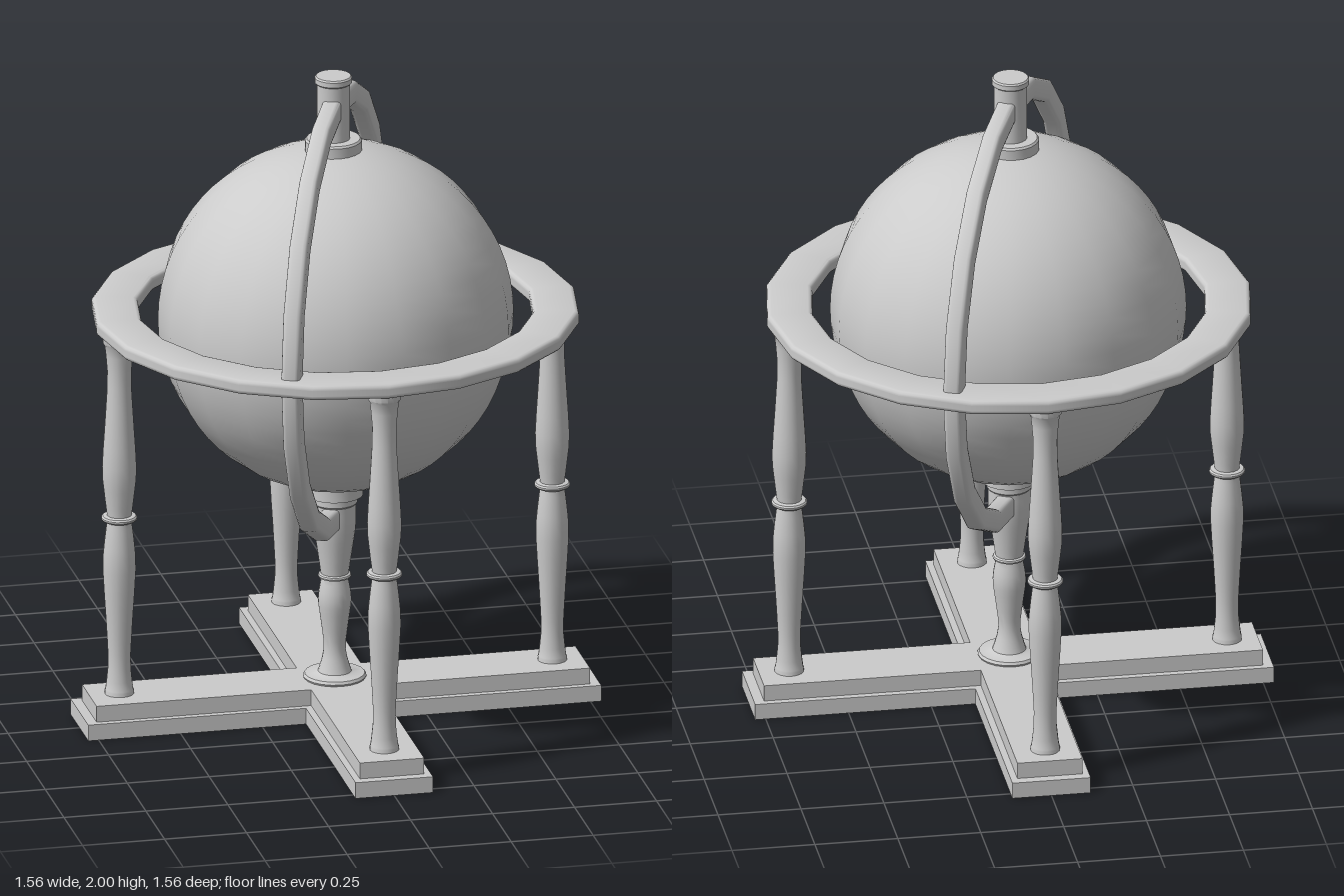
import * as THREE from 'three';
import { toCreasedNormals } from 'three/addons/utils/BufferGeometryUtils.js';

const material = new THREE.MeshStandardMaterial({ color: 0xcccccc });

function turned(profile, segments) {
  const points = profile.map(([r, y]) => new THREE.Vector2(r, y));
  return toCreasedNormals(new THREE.LatheGeometry(points, segments), 0.6);
}

// Smooths a run of profile points with a spline
function curve(points, steps = 12) {
  const spline = new THREE.SplineCurve(points.map(([r, y]) => new THREE.Vector2(r, y)));
  return spline.getPoints(steps).map((p) => [p.x, p.y]);
}

// Flat hoop about the y axis with rounded edges
function hoop(inner, outer, height, round, segments) {
  const h = height / 2 - round;
  const corners = [
    [inner + round, -h, Math.PI], [outer - round, -h, -Math.PI / 2],
    [outer - round, h, 0], [inner + round, h, Math.PI / 2],
  ];
  const profile = [];
  for (const [r, y, start] of corners) {
    for (let i = 0; i <= 3; i++) {
      const a = start + (i / 3) * (Math.PI / 2);
      profile.push([r + round * Math.cos(a), y + round * Math.sin(a)]);
    }
  }
  profile.push(profile[0]);
  return turned(profile, segments);
}

// Cross-shaped slab lying flat
function crossSlab(half, arm, height) {
  const corners = [
    [half, -arm], [half, arm], [arm, arm], [arm, half], [-arm, half], [-arm, arm],
    [-half, arm], [-half, -arm], [-arm, -arm], [-arm, -half], [arm, -half], [arm, -arm],
  ];
  const shape = new THREE.Shape(corners.map(([x, y]) => new THREE.Vector2(x, y)));
  return new THREE.ExtrudeGeometry(shape, { depth: height, bevelEnabled: false }).rotateX(-Math.PI / 2);
}

export function createModel() {
  const group = new THREE.Group();
  const add = (name, geometry, x = 0, y = 0, z = 0) => {
    const mesh = new THREE.Mesh(geometry, material);
    mesh.name = name;
    mesh.position.set(x, y, z);
    group.add(mesh);
    return mesh;
  };

  // Stepped cross base
  add('baseLower', crossSlab(0.782, 0.118, 0.05));
  add('baseUpper', crossSlab(0.752, 0.098, 0.05), 0, 0.05);

  // Four turned columns carrying the horizon ring
  const column = turned([
    [0, 0.1], [0.044, 0.1], [0.044, 0.11],
    ...curve([[0.042, 0.115], [0.034, 0.2], [0.04, 0.33], [0.05, 0.5], [0.045, 0.58], [0.037, 0.645]]),
    [0.05, 0.647], [0.054, 0.652], [0.054, 0.657], [0.05, 0.662],
    ...curve([[0.037, 0.664], [0.045, 0.73], [0.052, 0.81], [0.044, 0.95], [0.036, 1.1], [0.044, 1.2]]),
    [0.05, 1.21], [0.05, 1.235], [0, 1.235],
  ], 16);
  add('rightColumn', column, -0.66, 0, -0.003);
  add('leftColumn', column, 0.66, 0, -0.003);
  add('frontColumn', column, 0, 0, 0.648);
  add('backColumn', column, 0, 0, -0.668);

  // Central pedestal under the globe
  add('pedestal', turned([
    [0, 0.1], [0.092, 0.1], [0.095, 0.106], [0.09, 0.114], [0.055, 0.117],
    ...curve([[0.05, 0.12], [0.033, 0.19], [0.042, 0.28], [0.05, 0.35], [0.04, 0.415]]),
    [0.048, 0.417], [0.05, 0.422], [0.048, 0.427],
    ...curve([[0.042, 0.43], [0.052, 0.5], [0.063, 0.58], [0.064, 0.65]], 8),
    [0.068, 0.655], [0.068, 0.675], [0.085, 0.678], [0.085, 0.715], [0, 0.715],
  ], 20), -0.004);

  // Globe
  add('globe', new THREE.SphereGeometry(0.53, 20, 32).rotateY(Math.PI / 20), 0, 1.243, -0.004);

  // Axis pin on top of the globe
  add('axisPin', turned([
    [0, 1.75], [0.085, 1.75], [0.085, 1.797], [0.08, 1.803], [0.05, 1.803],
    [0.05, 1.975], [0.056, 1.98], [0.056, 1.995], [0.052, 2], [0, 2],
  ], 20), -0.007, 0, -0.004);

  // Horizontal ring on the columns
  add('horizonRing', hoop(0.59, 0.728, 0.046, 0.014, 20), 0, 1.253, -0.009);

  // Vertical ring around the globe
  const meridian = hoop(0.617, 0.687, 0.056, 0.014, 20).rotateZ(Math.PI / 2);
  add('meridianRing', meridian, -0.002, 1.255, -0.008).rotation.y = -0.42;

  return group;
}
